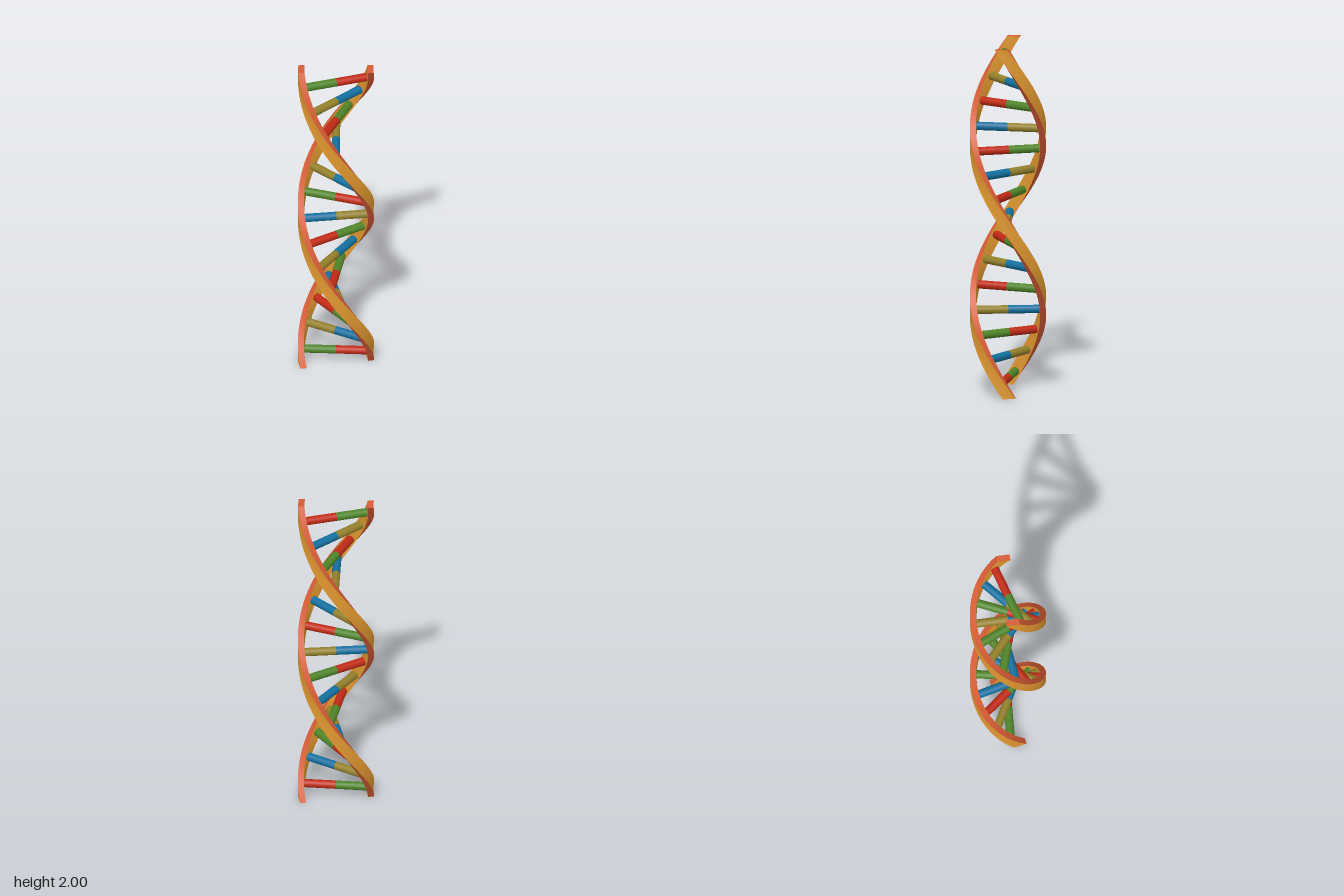
import * as THREE from 'three';

const HEIGHT = 2, STEPS = 72;
const INNER = 0.176, OUTER = 0.211, HALF_WIDTH = 0.0375;
const START = THREE.MathUtils.degToRad(-24), TURN = THREE.MathUtils.degToRad(371.5);
const angleAt = (y) => START + TURN * y / HEIGHT;

// Strand cross-section corners as [radial, tangential]
const CORNERS = [[OUTER, -HALF_WIDTH], [OUTER, HALF_WIDTH], [INNER, HALF_WIDTH], [INNER, -HALF_WIDTH]];

function cornerPoint([r, t], y, phase) {
  const a = angleAt(y) + phase, c = Math.cos(a), s = Math.sin(a);
  return [r * c - t * s, y, r * s + t * c];
}

function makeGeometry(positions, index) {
  const g = new THREE.BufferGeometry();
  g.setAttribute('position', new THREE.Float32BufferAttribute(positions, 3));
  g.setIndex(index);
  g.computeVertexNormals();
  return g;
}

// One long twisted face of a strand, between two neighbouring corners
function stripGeometry(side, phase) {
  const p = CORNERS[side], q = CORNERS[(side + 1) % 4];
  const positions = [], index = [];
  for (let i = 0; i <= STEPS; i++) {
    const y = HEIGHT * i / STEPS;
    positions.push(...cornerPoint(p, y, phase), ...cornerPoint(q, y, phase));
    if (i < STEPS) {
      const k = 2 * i;
      index.push(k, k + 2, k + 3, k, k + 3, k + 1);
    }
  }
  return makeGeometry(positions, index);
}

// Flat end of a strand
function capGeometry(y, phase) {
  const positions = CORNERS.flatMap((c) => cornerPoint(c, y, phase));
  return makeGeometry(positions, y > 0 ? [0, 2, 1, 0, 3, 2] : [0, 1, 2, 0, 2, 3]);
}

export function createModel() {
  const material = (name, color) => new THREE.MeshStandardMaterial({ name, color });
  const gold = material('gold', 0xdf962f);
  const coral = material('coral', 0xd65c35);
  const bases = {
    R: material('red', 0xc02a14),
    G: material('green', 0x4f8428),
    B: material('blue', 0x12709f),
    Y: material('olive', 0x93802a),
  };

  const model = new THREE.Group();
  model.name = 'doubleHelix';
  const add = (parent, name, geometry, mat) => {
    const mesh = new THREE.Mesh(geometry, mat);
    mesh.name = name;
    parent.add(mesh);
    return mesh;
  };

  // Two opposite strands: gold broad faces, coral edges and ends
  ['firstStrand', 'secondStrand'].forEach((name, n) => {
    const strand = new THREE.Group();
    strand.name = name;
    const phase = n * Math.PI;
    ['outerFace', 'upperEdge', 'innerFace', 'lowerEdge'].forEach((face, side) =>
      add(strand, face, stripGeometry(side, phase), side % 2 ? coral : gold));
    add(strand, 'bottomEnd', capGeometry(0, phase), coral);
    add(strand, 'topEnd', capGeometry(HEIGHT, phase), coral);
    model.add(strand);
  });

  // Rungs, each made of two paired halves (first strand side, second strand side)
  const pairs = { R: 'G', G: 'R', B: 'Y', Y: 'B' };
  const half = new THREE.CylinderGeometry(0.0235, 0.0235, 0.18, 24);
  half.rotateZ(Math.PI / 2);
  half.translate(0.09, 0, 0);
  [...'RBGYRYRBGYGYGBR'].forEach((base, i) => {
    const rung = new THREE.Group();
    rung.name = 'rung' + (i + 1);
    rung.position.y = 0.078 + i * 0.1308;
    rung.rotation.y = -angleAt(rung.position.y);
    add(rung, 'firstHalf', half, bases[base]);
    add(rung, 'secondHalf', half, bases[pairs[base]]).rotation.y = Math.PI;
    model.add(rung);
  });

  return model;
}
